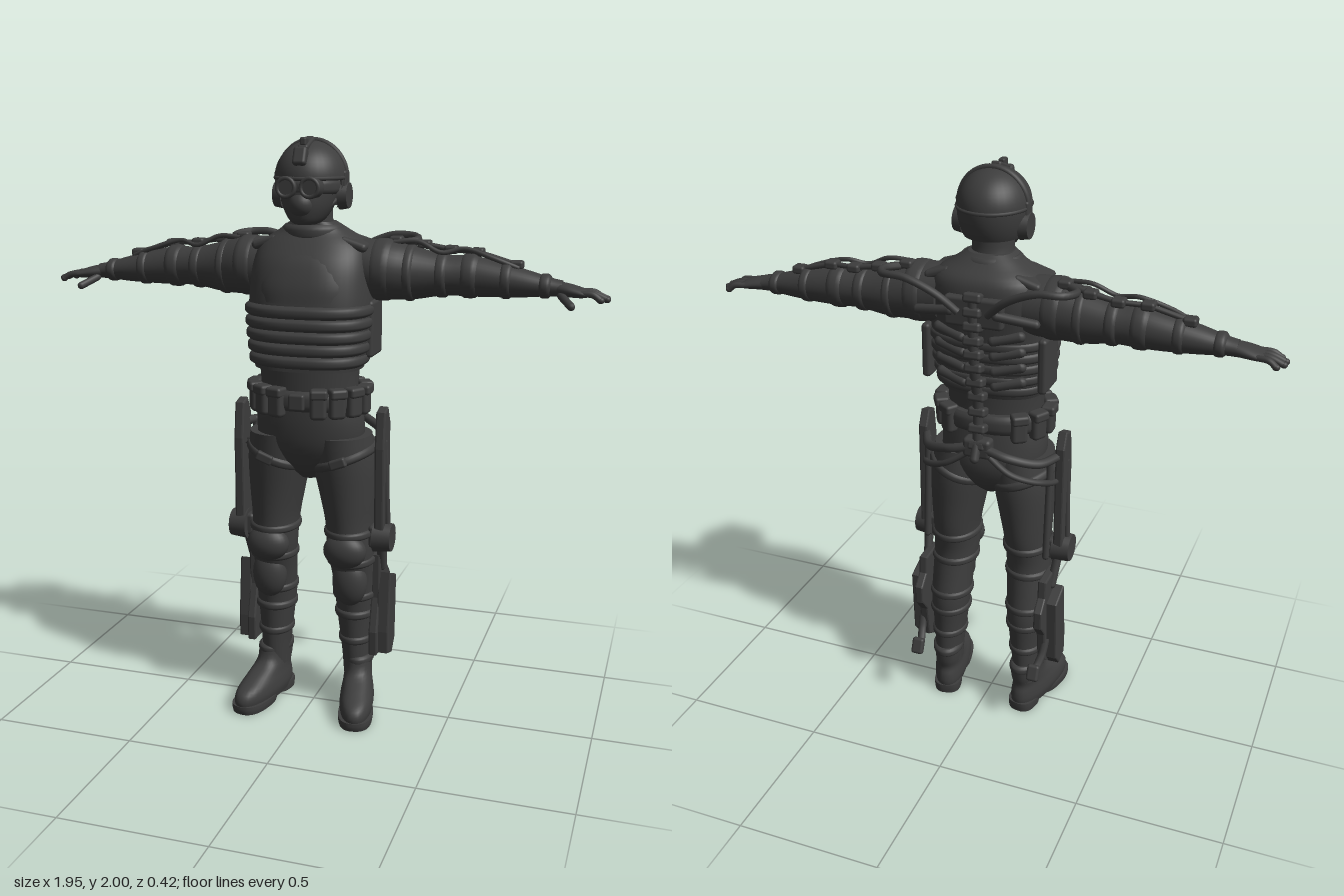
import * as THREE from 'three';
import { RoundedBoxGeometry } from 'three/addons/geometries/RoundedBoxGeometry.js';

const V = (p) => new THREE.Vector3(...p);

// Smooth skin through elliptical sections [along, c1, c2, r1, r2], running along y or x.
function loft(sections, { axis = 'y', power = 2, seg = 32, sub = 4 } = {}) {
  const rows = [];
  const last = sections.length - 1;
  for (let i = 0; i < last; i++) {
    const p = [-1, 0, 1, 2].map((k) => sections[Math.min(last, Math.max(0, i + k))]);
    for (let s = 0; s < sub; s++) {
      const t = s / sub;
      rows.push(p[1].map((b, k) => {
        const [a, c, d] = [p[0][k], p[2][k], p[3][k]];
        return b + 0.5 * t * (c - a + t * (2 * a - 5 * b + 4 * c - d + t * (3 * (b - c) + d - a)));
      }));
    }
  }
  rows.push(sections[last]);
  const cap = (r) => [r[0], r[1], r[2], 0, 0];
  const end = rows[rows.length - 1];
  const all = [cap(rows[0]), rows[0], ...rows, end, cap(end)];
  const pos = [], idx = [];
  const pw = (v) => Math.sign(v) * Math.abs(v) ** (2 / power);
  all.forEach(([u, c1, c2, r1, r2], i) => {
    for (let j = 0; j < seg; j++) {
      const a = (j / seg) * Math.PI * 2;
      const p = c1 + r1 * pw(Math.cos(a)), q = c2 + r2 * pw(Math.sin(a));
      pos.push(...(axis === 'y' ? [p, u, q] : [u, p, q]));
      if (i === all.length - 1 || i === 1 || i === all.length - 3) continue;
      const A = i * seg + j, B = i * seg + ((j + 1) % seg), C = A + seg, D = B + seg;
      const up = sections[last][0] > sections[0][0];
      if ((axis === 'y') === up) idx.push(A, C, B, B, C, D);
      else idx.push(A, B, C, B, D, C);
    }
  });
  const g = new THREE.BufferGeometry();
  g.setAttribute('position', new THREE.Float32BufferAttribute(pos, 3));
  g.setIndex(idx);
  g.computeVertexNormals();
  return g;
}

// Rounded strap around a limb or body
const band = (u, c1, c2, r1, r2, w, bulge, opt) => loft([
  [u - w, c1, c2, r1 - 0.004, r2 - 0.004], [u - w * 0.6, c1, c2, r1 + bulge * 0.8, r2 + bulge * 0.8],
  [u, c1, c2, r1 + bulge, r2 + bulge], [u + w * 0.6, c1, c2, r1 + bulge * 0.8, r2 + bulge * 0.8],
  [u + w, c1, c2, r1 - 0.004, r2 - 0.004]], { sub: 2, ...opt });

const ball = (p, s) => new THREE.SphereGeometry(1, 28, 18).scale(...s).translate(...p);

const box = (p, s, r = 0.008, rot = [0, 0, 0]) => new RoundedBoxGeometry(...s, 2, r)
  .rotateX(rot[0]).rotateY(rot[1]).rotateZ(rot[2]).translate(...p);

const cable = (pts, r) => new THREE.TubeGeometry(new THREE.CatmullRomCurve3(pts.map(V)), 32, r, 8);

function rod(a, b, r) {
  const d = V(b).sub(V(a));
  const q = new THREE.Quaternion().setFromUnitVectors(V([0, 1, 0]), d.clone().normalize());
  return new THREE.CapsuleGeometry(r, d.length(), 4, 12).applyQuaternion(q)
    .translate(...V(a).addScaledVector(d, 0.5).toArray());
}

const disc = (p, r, h, axis) => {
  const g = new THREE.CylinderGeometry(r * 0.88, r, h, 24);
  if (axis === 'x') g.rotateZ(-Math.PI / 2); else if (axis === 'z') g.rotateX(Math.PI / 2);
  return g.translate(...p);
};

// Side plate outlined in [z, y], thick along x
function plate(points, x, thick) {
  const shape = new THREE.Shape(points.map(([z, y]) => new THREE.Vector2(-z, y)));
  return new THREE.ExtrudeGeometry(shape, { depth: thick - 0.012, bevelThickness: 0.006, bevelSize: 0.006, bevelSegments: 2 })
    .rotateY(Math.PI / 2).translate(x + 0.006, 0, 0);
}

function mirrored(geo) {
  const g = geo.clone().scale(-1, 1, 1);
  const src = g.index ? Array.from(g.index.array) : Array.from({ length: g.attributes.position.count }, (_, i) => i);
  for (let i = 0; i < src.length; i += 3) [src[i + 1], src[i + 2]] = [src[i + 2], src[i + 1]];
  g.setIndex(src);
  return g;
}

export function createModel() {
  const model = new THREE.Group();
  const charcoal = new THREE.MeshStandardMaterial({ color: 0x3d3d3d, side: THREE.DoubleSide });
  charcoal.name = 'charcoal';
  const add = (name, geo) => {
    const m = new THREE.Mesh(geo, charcoal);
    m.name = name;
    model.add(m);
  };
  const pair = (name, geo) => { add(name + 'Left', geo); add(name + 'Right', mirrored(geo)); };

  // Head, mask and helmet
  add('neck', loft([[1.66, 0, 0, 0.085, 0.08], [1.73, 0, 0.015, 0.07, 0.068], [1.8, 0, 0.02, 0.07, 0.07]]));
  add('face', loft([[1.725, 0, 0.085, 0.035, 0.045], [1.74, 0, 0.07, 0.058, 0.075], [1.78, 0, 0.055, 0.082, 0.1],
    [1.83, 0, 0.04, 0.095, 0.115], [1.89, 0, 0.03, 0.1, 0.12]]));
  add('mask', ball([0, 1.79, 0.12], [0.045, 0.045, 0.05]));
  const dome = [0.119, 0.118, 0.136];
  add('helmetDome', new THREE.SphereGeometry(1, 36, 14, 0, Math.PI * 2, 0, Math.PI / 2).scale(...dome).translate(0, 1.872, 0.024));
  add('helmetBack', new THREE.SphereGeometry(1, 28, 8, Math.PI - 0.25, Math.PI + 0.5, Math.PI / 2, 0.6)
    .scale(0.118, 0.17, 0.134).translate(0, 1.874, 0.024));
  add('helmetRim', new THREE.TorusGeometry(1, 0.06, 8, 40).rotateX(Math.PI / 2).scale(0.116, 0.11, 0.134).translate(0, 1.872, 0.024));
  add('helmetStrap', new THREE.TorusGeometry(0.117, 0.009, 8, 28, Math.PI).scale(1, 1.02, 1.6).translate(0, 1.872, 0.015));
  add('helmetRail', box([0, 1.975, 0.075], [0.035, 0.03, 0.09], 0.008, [0.35, 0, 0]));
  add('helmetMount', box([0, 1.94, 0.14], [0.045, 0.06, 0.035], 0.01, [-0.4, 0, 0]));
  add('helmetKnob', box([0, 1.987, 0.1], [0.022, 0.026, 0.035], 0.006));
  add('goggleBand', band(1.845, 0, 0.03, 0.101, 0.122, 0.024, 0.006));
  pair('goggle', disc([0.04, 1.845, 0.15], 0.036, 0.045, 'z'));
  pair('goggleRim', new THREE.TorusGeometry(0.029, 0.007, 8, 24).translate(0.04, 1.845, 0.17));
  pair('earCup', disc([0.112, 1.815, 0.015], 0.047, 0.03, 'x'));
  pair('earPad', box([0.112, 1.86, 0.02], [0.022, 0.07, 0.05]));
  pair('chinStrap', rod([0.09, 1.8, 0.05], [0.03, 1.735, 0.1], 0.008));

  // Torso and ribbed armour
  add('waist', loft([[1.08, 0, 0.04, 0.17, 0.125], [1.18, 0, 0.045, 0.168, 0.125], [1.28, 0, 0.045, 0.175, 0.13]]));
  const vest = [[1.25, 0, 0.045, 0.183, 0.14], [1.32, 0, 0.035, 0.2, 0.15], [1.42, 0, 0.03, 0.208, 0.158],
    [1.52, 0, 0.017, 0.207, 0.158], [1.6, 0, 0, 0.2, 0.15], [1.66, 0, -0.015, 0.178, 0.125],
    [1.7, 0, -0.01, 0.12, 0.088], [1.73, 0, 0.005, 0.075, 0.07]];
  add('vest', loft(vest, { power: 2.5, seg: 48 }));
  for (let k = 0; k < 5; k++) {
    const y = 1.282 + k * 0.041, w = 1 - (1 - k / 5) ** 2;
    add('armourRib' + k, band(y, 0, 0.045 - 0.012 * w, 0.19 + 0.018 * w, 0.145 + 0.014 * w, 0.021, 0.012, { power: 2.5, seg: 48 }));
  }
  add('chestPlate', loft([[1.475, 0, 0.07, 0.165, 0.116], [1.53, 0, 0.062, 0.17, 0.116], [1.6, 0, 0.04, 0.155, 0.112],
    [1.645, 0, 0.02, 0.12, 0.1]], { power: 2.6, seg: 40 }));
  add('collar', band(1.695, 0, 0.002, 0.098, 0.085, 0.026, 0.008));
  pair('shoulderStrap', box([0.152, 1.66, -0.015], [0.095, 0.03, 0.17], 0.014, [0, 0, -0.3]));
  pair('sidePanel', box([0.204, 1.38, -0.02], [0.03, 0.19, 0.13], 0.012));

  // Belt with pouches
  add('pelvis', loft([[0.86, 0, 0.02, 0.035, 0.05], [0.91, 0, 0.02, 0.1, 0.1], [0.98, 0, 0.025, 0.175, 0.128],
    [1.06, 0, 0.035, 0.187, 0.132], [1.14, 0, 0.042, 0.172, 0.128]], { power: 2.2 }));
  add('belt', band(1.15, 0, 0.04, 0.178, 0.14, 0.034, 0.008, { power: 2.3 }));
  add('buckle', box([0, 1.15, 0.185], [0.055, 0.055, 0.025]));
  [1.18, 0.83, 0.45, 0.02, -0.42, -0.85].forEach((a, i) => {
    const x = 0.19 * Math.cos(a), z = 0.04 + 0.15 * Math.sin(a);
    const turn = Math.atan2(Math.cos(a) / 0.19, Math.sin(a) / 0.15);
    pair('pouch' + i, box([x, 1.145, z], [0.056, 0.1, 0.042], 0.014, [0, turn, 0]));
    pair('pouchFlap' + i, box([x * 1.02, 1.18, z], [0.06, 0.034, 0.05], 0.01, [0, turn, 0]));
  });

  // Legs and boots
  pair('leg', loft([[0.12, 0.155, -0.04, 0.048, 0.068], [0.2, 0.153, -0.036, 0.051, 0.072], [0.3, 0.15, -0.033, 0.06, 0.076],
    [0.4, 0.148, -0.03, 0.07, 0.083], [0.5, 0.145, -0.01, 0.074, 0.085], [0.6, 0.14, 0.015, 0.08, 0.095],
    [0.7, 0.135, 0.01, 0.082, 0.107], [0.8, 0.128, 0.012, 0.095, 0.115], [0.92, 0.117, 0.018, 0.109, 0.124],
    [1.02, 0.108, 0.03, 0.105, 0.122]]));
  [[0.26, 0.152, -0.034, 0.056, 0.074], [0.36, 0.149, -0.03, 0.067, 0.081], [0.43, 0.147, -0.024, 0.071, 0.083],
    [0.565, 0.142, 0.008, 0.078, 0.09], [0.67, 0.137, 0.011, 0.082, 0.104]].forEach(([y, ...s], i) =>
    pair('legStrap' + i, band(y, ...s, 0.016, 0.007)));
  pair('thighStrap', band(0, 0, 0, 0.109, 0.123, 0.018, 0.009).rotateZ(0.36).translate(0.118, 0.935, 0.02));
  pair('thighBuckle', box([0.13, 0.94, 0.145], [0.06, 0.034, 0.025], 0.008, [0, 0, 0.36]));
  pair('kneePad', ball([0.14, 0.615, 0.088], [0.076, 0.062, 0.05]));
  pair('shinPad', ball([0.148, 0.49, 0.05], [0.062, 0.088, 0.048]));
  const onFoot = (g) => g.rotateY(0.21).translate(0.157, 0, -0.045);
  pair('boot', onFoot(loft([[0.015, 0, 0.092, 0.053, 0.16], [0.045, 0, 0.092, 0.06, 0.166], [0.075, 0, 0.084, 0.058, 0.155],
    [0.105, 0, 0.055, 0.052, 0.118], [0.14, 0, 0.015, 0.049, 0.086], [0.19, 0, 0.003, 0.051, 0.08]], { power: 2.3 })));
  pair('bootCuff', onFoot(band(0.182, 0, 0.003, 0.05, 0.078, 0.016, 0.006)));
  pair('soleFront', onFoot(loft([[0, 0, 0.155, 0.058, 0.1], [0.015, 0, 0.155, 0.061, 0.104], [0.03, 0, 0.155, 0.061, 0.104]], { power: 2.5 })));
  pair('soleHeel', onFoot(loft([[0, 0, -0.015, 0.048, 0.058], [0.02, 0, -0.015, 0.05, 0.06], [0.035, 0, -0.015, 0.05, 0.06]], { power: 2.6 })));

  // Leg support frame
  pair('thighBar', plate([[0.06, 0.67], [0.065, 0.98], [0.05, 1.1], [0.015, 1.11], [-0.01, 1.06], [-0.012, 0.67]], 0.236, 0.034));
  pair('thighPiston', rod([0.275, 0.7, 0.025], [0.262, 1.0, 0.035], 0.011));
  pair('thighBrace', rod([0.225, 1.03, -0.03], [0.225, 0.66, -0.06], 0.012));
  pair('kneeJoint', disc([0.262, 0.66, 0.028], 0.055, 0.062, 'x'));
  pair('kneeBracket', box([0.235, 0.66, 0.02], [0.05, 0.08, 0.06], 0.012));
  pair('kneeLink', rod([0.25, 0.64, 0.01], [0.24, 0.53, -0.03], 0.016));
  pair('calfPanel', plate([[0, 0.575], [-0.095, 0.57], [-0.1, 0.51], [-0.14, 0.47], [-0.14, 0.41], [-0.1, 0.36],
    [-0.085, 0.24], [-0.05, 0.22], [0.025, 0.22], [0.028, 0.3], [-0.005, 0.42]], 0.212, 0.032));
  pair('calfShell', plate([[-0.01, 0.51], [-0.085, 0.48], [-0.075, 0.25], [-0.04, 0.21], [0.01, 0.225], [0.012, 0.3]], 0.235, 0.046));
  pair('calfHook', cable([[0.24, 0.33, -0.08], [0.235, 0.27, -0.11], [0.225, 0.235, -0.15], [0.225, 0.245, -0.178]], 0.015));
  pair('calfHookTip', box([0.225, 0.235, -0.172], [0.045, 0.06, 0.025], 0.01, [0.4, 0, 0]));

  // Arms and hands
  const alongX = { axis: 'x' };
  pair('arm', loft([[0.15, 1.575, -0.03, 0.098, 0.1], [0.25, 1.572, -0.03, 0.098, 0.1], [0.34, 1.563, -0.042, 0.086, 0.085],
    [0.44, 1.56, -0.05, 0.067, 0.07], [0.52, 1.559, -0.055, 0.067, 0.065], [0.6, 1.552, -0.055, 0.059, 0.06],
    [0.7, 1.542, -0.052, 0.045, 0.05], [0.78, 1.534, -0.05, 0.03, 0.037], [0.82, 1.53, -0.05, 0.026, 0.034]], alongX));
  [[0.235, 1.573, -0.03, 0.096, 0.098, 0.035], [0.325, 1.564, -0.04, 0.086, 0.086, 0.018], [0.43, 1.56, -0.05, 0.068, 0.07, 0.022],
    [0.52, 1.559, -0.055, 0.066, 0.064, 0.03], [0.64, 1.549, -0.054, 0.053, 0.055, 0.02],
    [0.765, 1.536, -0.05, 0.033, 0.04, 0.02]].forEach(([x, y, z, ry, rz, w], i) =>
    pair('armCuff' + i, band(x, y, z, ry, rz, w, 0.007, alongX)));
  pair('palm', loft([[0.795, 1.531, -0.05, 0.024, 0.031], [0.84, 1.526, -0.046, 0.022, 0.042],
    [0.88, 1.52, -0.045, 0.017, 0.046], [0.9, 1.517, -0.045, 0.011, 0.044]], alongX));
  [0.942, 0.96, 0.962, 0.945].forEach((tip, i) => pair('finger' + i,
    cable([[0.88, 1.52, -0.08 + i * 0.023], [0.92, 1.518, -0.087 + i * 0.026], [tip, 1.502, -0.09 + i * 0.028]], 0.0105)));
  [0.942, 0.96, 0.962, 0.945].forEach((tip, i) => pair('fingerTip' + i, ball([tip, 1.502, -0.09 + i * 0.028], [0.012, 0.0105, 0.0105])));
  pair('thumb', rod([0.82, 1.51, -0.02], [0.858, 1.484, 0.032], 0.013));

  // Arm support links and hoses
  const links = [[0.27, 1.668, -0.06], [0.36, 1.655, -0.085], [0.45, 1.64, -0.085], [0.54, 1.636, -0.07], [0.67, 1.6, -0.06]];
  links.forEach((p, i) => {
    pair('armJoint' + i, box(p, [0.045, 0.028, 0.045], 0.009));
    if (i) pair('armLink' + i, rod(links[i - 1], p, 0.009));
  });
  pair('armHose', cable([[0.27, 1.665, -0.02], [0.35, 1.668, -0.03], [0.43, 1.635, -0.02], [0.5, 1.648, -0.04], [0.6, 1.62, -0.03], [0.68, 1.59, -0.04]], 0.008));
  pair('shoulderHose', cable([[0.05, 1.57, -0.17], [0.12, 1.63, -0.19], [0.22, 1.672, -0.198], [0.3, 1.672, -0.185],
    [0.326, 1.665, -0.12], [0.28, 1.66, -0.06]], 0.013));

  // Back frame: yoke, jointed spine and hip harness
  add('backYoke', box([0, 1.57, -0.152], [0.2, 0.1, 0.035], 0.012));
  pair('yokeArm', rod([0.08, 1.57, -0.165], [0.2, 1.55, -0.14], 0.016));
  const spine = new THREE.CatmullRomCurve3([[0, 1.62, -0.16], [0, 1.5, -0.165], [0, 1.38, -0.155], [0, 1.24, -0.125], [0, 1.09, -0.13]].map(V));
  add('spineCore', new THREE.TubeGeometry(spine, 32, 0.018, 10));
  for (let i = 0; i < 11; i++) {
    const p = spine.getPoint(i / 10).toArray();
    add('vertebra' + i, box(p, [0.062, 0.032, 0.046], 0.01, [0.25, 0, 0]));
  }
  for (let i = 0; i < 4; i++) {
    const y = 1.47 - i * 0.055;
    pair('backRib' + i, rod([0.055, y, -0.128 + i * 0.006], [0.14, y + 0.02, -0.112 + i * 0.006], 0.018));
  }
  add('hipHub', box([0, 1.08, -0.125], [0.1, 0.07, 0.05], 0.014));
  add('hipHook', rod([0, 1.09, -0.14], [0, 1.05, -0.16], 0.016));
  pair('hipArm', cable([[0.03, 1.08, -0.135], [0.11, 1.06, -0.135], [0.2, 1.03, -0.08], [0.245, 1.03, 0]], 0.016));
  pair('hipHose', cable([[0.03, 1.06, -0.13], [0.12, 1.0, -0.135], [0.21, 0.96, -0.08], [0.245, 0.94, 0], [0.24, 0.97, 0.04]], 0.011));
  return model;
}
